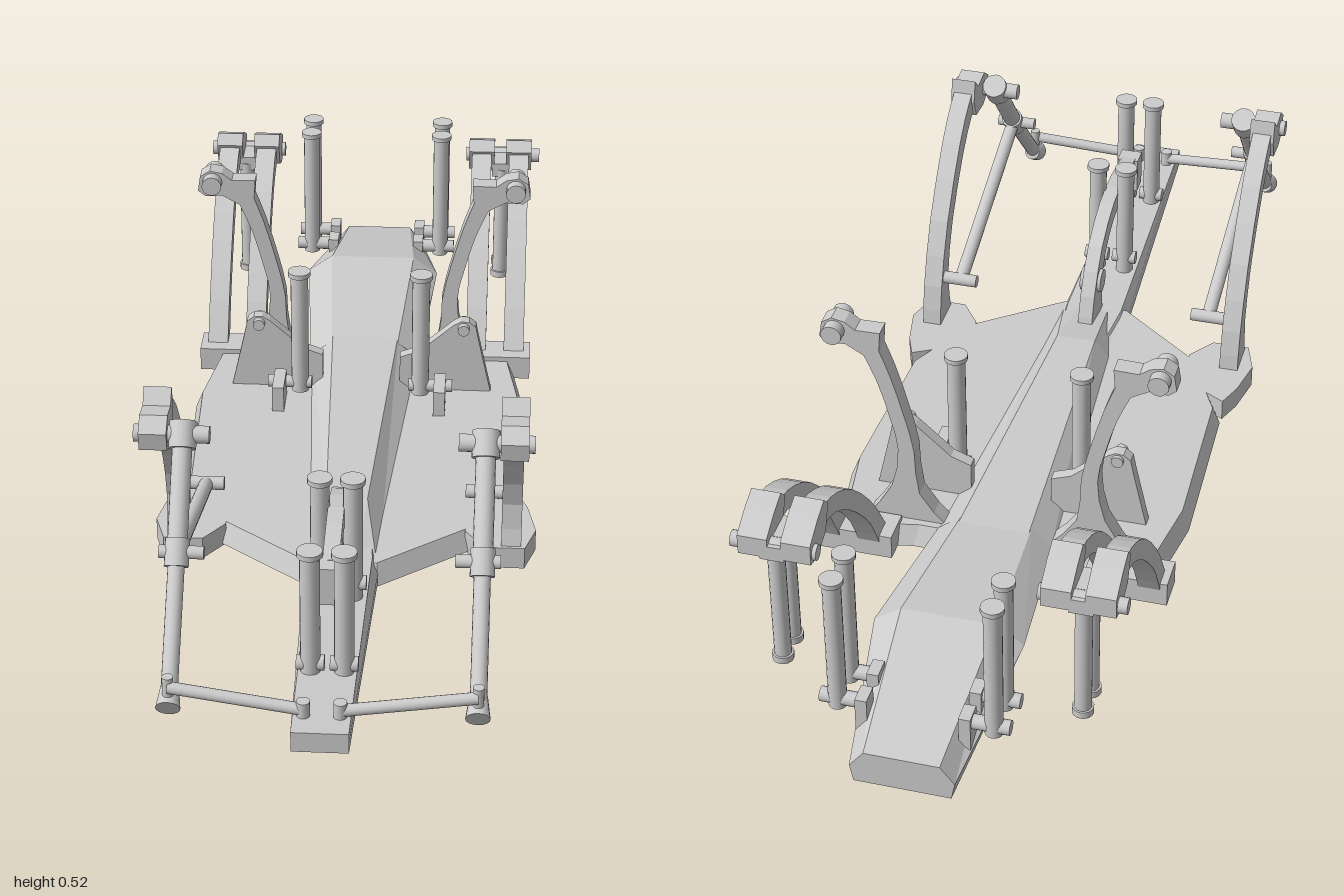
import * as THREE from 'three';

const mat = new THREE.MeshStandardMaterial({ color: 0xcccccc, flatShading: true });
const smooth = new THREE.MeshStandardMaterial({ color: 0xcccccc });
const V = (x, y, z) => new THREE.Vector3(x, y, z);

export function createModel() {
  const root = new THREE.Group();
  root.name = 'chassis';

  function add(name, geo, m = mat) {
    const mesh = new THREE.Mesh(geo, m);
    mesh.name = name;
    root.add(mesh);
    return mesh;
  }

  // Closed solid through rings of equal point count, capped by fans
  function loft(name, rings) {
    const tris = [];
    const n = rings[0].length;
    for (let i = 0; i < rings.length - 1; i++) {
      for (let j = 0; j < n; j++) {
        const k = (j + 1) % n, a = rings[i], b = rings[i + 1];
        tris.push([a[j], a[k], b[k]], [a[j], b[k], b[j]]);
      }
    }
    [rings[0], rings[rings.length - 1]].forEach((r, end) => {
      const c = r.reduce((s, p) => s.add(p), V(0, 0, 0)).divideScalar(n);
      for (let j = 0; j < n; j++) {
        const k = (j + 1) % n;
        tris.push(end ? [c, r[j], r[k]] : [c, r[k], r[j]]);
      }
    });
    // Keep the faces turned outward
    const vol = tris.reduce((s, [a, b, c]) => s + a.dot(b.clone().cross(c)), 0);
    const pts = tris.flatMap(([a, b, c]) => (vol < 0 ? [a, c, b] : [a, b, c]));
    const geo = new THREE.BufferGeometry().setFromPoints(pts);
    geo.computeVertexNormals();
    return add(name, geo);
  }

  // Cylinder between two points
  function rod(name, a, b, r, r2 = r) {
    const d = b.clone().sub(a);
    const mesh = add(name, new THREE.CylinderGeometry(r2, r, d.length(), 16), smooth);
    mesh.position.copy(a).addScaledVector(d, 0.5);
    mesh.quaternion.setFromUnitVectors(V(0, 1, 0), d.normalize());
    return mesh;
  }
  const pinX = (name, x0, x1, y, z, r) => rod(name, V(x0, y, z), V(x1, y, z), r);
  function box(name, x, y, z, w, h, d) {
    add(name, new THREE.BoxGeometry(w, h, d)).position.set(x, y, z);
  }

  const spline = (pts, n = 10) =>
    new THREE.SplineCurve(pts.map(p => new THREE.Vector2(...p))).getPoints(n);
  const band = (outer, inner) => [...spline(outer), ...spline(inner).reverse()];
  function plate(pts, depth) {
    const shape = new THREE.Shape(pts.map(p => (p.isVector2 ? p : new THREE.Vector2(...p))));
    return new THREE.ExtrudeGeometry(shape, { depth, bevelEnabled: false }).translate(0, 0, -depth / 2);
  }
  // Profile given as [z, y], thickness along x
  function armYZ(name, pts, x, width) {
    add(name, plate(pts, width).rotateY(-Math.PI / 2)).position.x = x;
  }

  // Upright damper with a flange on top and a foot
  function damper(name, x, z, y0, y1, r) {
    rod(name, V(x, y0, z), V(x, y1, z), r);
    rod(name + 'Flange', V(x, y1 - 0.01, z), V(x, y1, z), r * 1.28);
  }

  // Deck plate
  const half = [[0.07, 0.43], [0.25, 0.29], [0.33, 0.13], [0.343, -0.22], [0.31, -0.43], [0.16, -0.4]];
  const outline = [...half, ...half.map(([x, z]) => [-x, z]).reverse()];
  loft('deck', [[0.035, 1], [0.075, 0.955]].map(([y, k]) => outline.map(([x, z]) => V(x * k, y, z * k))));

  // Beams from sections: z, half widths (bottom, middle, top), heights (bottom, middle, top)
  function beam(name, sections) {
    loft(name, sections.map(([z, b, m, t, yb, ym, yt]) => [
      V(-b, yb, z), V(b, yb, z), V(m, ym, z), V(t, yt, z), V(-t, yt, z), V(-m, ym, z)]));
  }
  beam('frontBeam', [
    [1, 0.05, 0.05, 0.05, 0.075, 0.095, 0.115],
    [0.4, 0.07, 0.07, 0.058, 0.035, 0.055, 0.08],
    [0.3, 0.07, 0.07, 0.05, 0.035, 0.055, 0.08]]);
  beam('spineRidge', [
    [0.4, 0.068, 0.066, 0.03, 0.04, 0.07, 0.078],
    [0.24, 0.07, 0.07, 0.04, 0.04, 0.075, 0.11],
    [-0.42, 0.11, 0.115, 0.07, 0.037, 0.075, 0.112]]);
  beam('rearBeam', [
    [-0.38, 0.11, 0.115, 0.07, 0.037, 0.075, 0.11],
    [-0.7, 0.125, 0.142, 0.09, 0.088, 0.11, 0.147],
    [-1, 0.09, 0.097, 0.07, 0, 0.035, 0.07]]);

  // Central arched arm on the front beam
  armYZ('centreArch', band(
    [[0.31, 0.075], [0.335, 0.15], [0.4, 0.235], [0.5, 0.28], [0.6, 0.285], [0.7, 0.27]],
    [[0.41, 0.075], [0.4, 0.14], [0.43, 0.2], [0.5, 0.24], [0.6, 0.245], [0.7, 0.225]]), 0, 0.03);
  box('centreArchEnd', 0, 0.232, 0.71, 0.044, 0.075, 0.04);
  rod('centreArchBoss', V(-0.022, 0.165, 0.38), V(0.022, 0.165, 0.38), 0.025);

  for (const s of [1, -1]) {
    // Front dampers
    damper('frontDamper', s * 0.03, 0.8, 0.085, 0.355, 0.018);
    damper('frontDamper', s * 0.03, 0.545, 0.08, 0.345, 0.018);
    for (const z of [0.8, 0.545]) pinX('frontDamperFoot', s * 0.005, s * 0.055, 0.12, z, 0.014);

    // Pad carrying the front arm
    const pad = [[0.24, 0.2], [0.33, 0.15], [0.35, 0.2], [0.366, 0.28], [0.345, 0.345], [0.27, 0.345], [0.23, 0.29]];
    loft('frontPad', [0.03, 0.075].map(y => pad.map(([x, z]) => V(s * x, y, z))));

    // Front arm
    armYZ('frontArm', band(
      [[0.26, 0.07], [0.275, 0.16], [0.33, 0.29], [0.43, 0.42], [0.5, 0.475], [0.535, 0.49]],
      [[0.34, 0.07], [0.325, 0.16], [0.365, 0.27], [0.45, 0.38], [0.52, 0.435], [0.56, 0.44]]), s * 0.319, 0.038);
    armYZ('frontArmHead', [[0.53, 0.515], [0.555, 0.49], [0.6, 0.497], [0.63, 0.475],
      [0.625, 0.44], [0.59, 0.425], [0.535, 0.43], [0.52, 0.47]], s * 0.319, 0.05);
    pinX('frontArmPin', s * 0.22, s * 0.355, 0.46, 0.6, 0.016);

    // Strut, clamp and link rod
    const top = V(s * 0.268, 0.46, 0.6), clamp = V(s * 0.268, 0.3, 0.735), foot = V(s * 0.268, 0.115, 0.91);
    const linkEnd = V(s * 0.265, 0.17, 0.3);
    rod('strutUpper', top, clamp, 0.018);
    rod('strutLower', clamp, foot, 0.015);
    rod('strutHead', top.clone().add(V(0, 0.017, -0.015)), top.clone().add(V(0, -0.02, 0.017)), 0.025);
    pinX('strutClampPin', s * 0.22, s * 0.3, 0.3, 0.735, 0.012);
    rod('strutClamp', V(s * 0.268, 0.318, 0.72), V(s * 0.268, 0.28, 0.752), 0.022);
    rod('linkRod', clamp, linkEnd, 0.014);
    pinX('linkPin', s * 0.23, s * 0.32, 0.172, 0.3, 0.013);
    rod('strutFoot', V(s * 0.268, 0.125, 0.89), V(s * 0.268, 0.105, 0.93), 0.016, 0.022);
    rod('strutFootPost', V(s * 0.268, 0.11, 0.92), V(s * 0.268, 0.165, 0.92), 0.01);

    // Steering cross rod
    rod('crossRod', V(s * 0.268, 0.146, 0.925), V(s * 0.032, 0.124, 0.945), 0.011);
    rod('crossRodPivot', V(s * 0.032, 0.1, 0.945), V(s * 0.032, 0.142, 0.945), 0.012);

    // Middle horn, flaring outward at the top
    const horn = [
      ...spline([[0.1, 0.07], [0.155, 0.14], [0.163, 0.24], [0.18, 0.32], [0.205, 0.41], [0.225, 0.465]]),
      [0.222, 0.506], [0.27, 0.505], [0.29, 0.52], [0.315, 0.525], [0.335, 0.512], [0.34, 0.48], [0.325, 0.468], [0.29, 0.47],
      ...spline([[0.255, 0.45], [0.23, 0.39], [0.208, 0.31], [0.195, 0.24], [0.21, 0.15], [0.26, 0.07]])];
    add('horn', plate(horn.map(p => (p.isVector2 ? [p.x * s, p.y] : [p[0] * s, p[1]])), 0.036)).position.z = -0.35;
    rod('hornPin', V(s * 0.31, 0.5, -0.31), V(s * 0.31, 0.5, -0.39), 0.02);

    // Bracket plate with rounded top
    const bracket = [[0.08, 0.07], [0.08, 0.15], [0.12, 0.165], [0.19, 0.228], [0.205, 0.237],
      [0.222, 0.236], [0.236, 0.225], [0.242, 0.195], [0.27, 0.07]];
    add('bracket', plate(bracket.map(([x, y]) => [x * s, y]), 0.024)).position.z = -0.26;
    rod('bracketPin', V(s * 0.211, 0.222, -0.235), V(s * 0.211, 0.222, -0.28), 0.012);

    // Middle damper and foot
    damper('middleDamper', s * 0.124, -0.21, 0.09, 0.365, 0.018);
    pinX('middleDamperFoot', s * 0.1, s * 0.19, 0.107, -0.21, 0.013);
    box('middleDamperBlock', s * 0.165, 0.1, -0.18, 0.024, 0.06, 0.08);

    // Twin rear arms with a cross pin
    for (const x of [0.235, 0.315]) {
      armYZ('rearArm', band(
        [[-0.395, 0.07], [-0.47, 0.185], [-0.58, 0.305], [-0.68, 0.372], [-0.76, 0.395]],
        [[-0.445, 0.07], [-0.5, 0.165], [-0.6, 0.272], [-0.69, 0.335], [-0.77, 0.35]]), s * x, 0.042);
      armYZ('rearArmHead', [[-0.73, 0.395], [-0.75, 0.415], [-0.79, 0.4], [-0.835, 0.375],
        [-0.835, 0.335], [-0.8, 0.325], [-0.75, 0.345]], s * x, 0.055);
    }
    box('rearArmBase', s * 0.3, 0.06, -0.41, 0.1, 0.05, 0.07);
    box('rearArmInnerBase', s * 0.225, 0.06, -0.41, 0.07, 0.05, 0.07);
    pinX('rearArmPin', s * 0.2, s * 0.36, 0.35, -0.815, 0.015);
    box('rearHanger', s * 0.28, 0.345, -0.79, 0.045, 0.03, 0.09);

    // Cylinders hanging from the rear arms
    for (const z of [-0.758, -0.812]) {
      rod('hangingCylinder', V(s * 0.28, 0.095, z), V(s * 0.28, 0.345, z), 0.016);
      rod('hangingCylinderFoot', V(s * 0.28, 0.083, z), V(s * 0.28, 0.097, z), 0.02);
    }

    // Rear dampers on the tail
    for (const z of [-0.91, -0.84]) {
      damper('rearDamper', s * 0.144, z, 0.09, 0.382, 0.017);
      pinX('rearDamperFoot', s * 0.085, s * 0.175, 0.107, z, 0.014);
      box('rearDamperLug', s * 0.095, 0.09, z, 0.022, 0.07, 0.04);
    }
  }
  return root;
}
